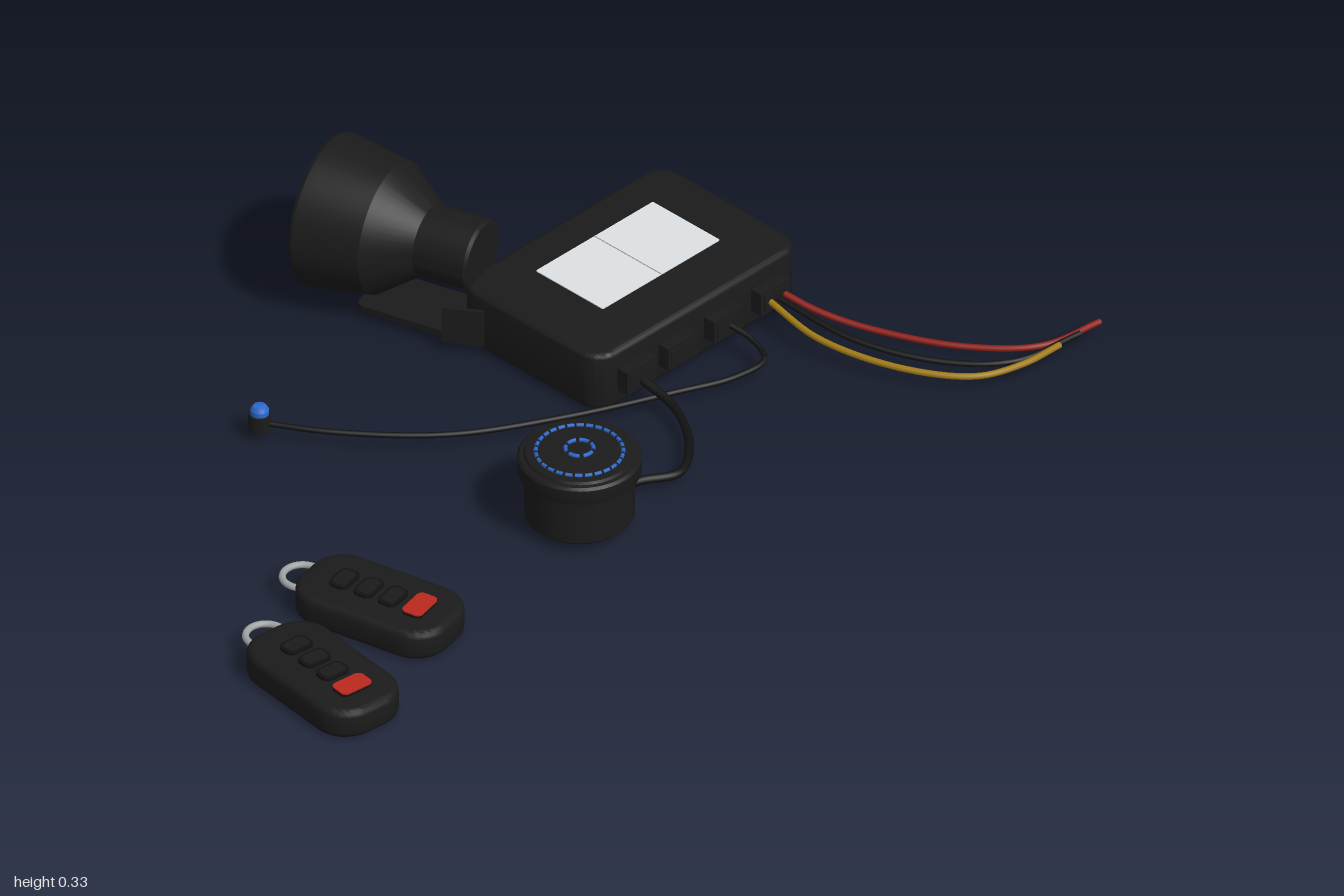
import * as THREE from 'three';
import { toCreasedNormals } from 'three/addons/utils/BufferGeometryUtils.js';

const V = (x, y, z) => new THREE.Vector3(x, y, z);

function material(name, color) {
  const m = new THREE.MeshStandardMaterial({ color });
  m.name = name;
  return m;
}

const mats = {
  black: material('black plastic', 0x1b1b1b),
  dark: material('dark rubber', 0x121212),
  label: material('label grey', 0xdde1e4),
  silver: material('ring metal', 0xa2a4a4),
  red: material('panic red', 0xba281e),
  blue: material('signal blue', 0x2d68cc),
  yellow: material('yellow wire', 0xa07a14),
  maroon: material('red wire', 0x8c1c16),
};

function add(parent, name, geometry, mat, x = 0, y = 0, z = 0) {
  const mesh = new THREE.Mesh(geometry, mat);
  mesh.name = name;
  mesh.position.set(x, y, z);
  parent.add(mesh);
  return mesh;
}

// Rounded rectangle lying flat, standing on y = 0
function slab(w, d, r, h, bevel = 0) {
  const a = w / 2 - bevel, b = d / 2 - bevel;
  r = Math.max(r - bevel, 0.002);
  const s = new THREE.Shape();
  s.absarc(a - r, b - r, r, 0, Math.PI / 2);
  s.absarc(r - a, b - r, r, Math.PI / 2, Math.PI);
  s.absarc(r - a, r - b, r, Math.PI, Math.PI * 1.5);
  s.absarc(a - r, r - b, r, Math.PI * 1.5, Math.PI * 2);
  s.closePath();
  const g = new THREE.ExtrudeGeometry(s, {
    depth: h - 2 * bevel, curveSegments: 8, bevelEnabled: bevel > 0,
    bevelThickness: bevel, bevelSize: bevel, bevelSegments: 3,
  });
  g.translate(0, 0, bevel).rotateX(-Math.PI / 2);
  return toCreasedNormals(g, 0.6);
}

function lathe(points, segments = 48) {
  const g = new THREE.LatheGeometry(points.map(p => new THREE.Vector2(...p)), segments);
  return toCreasedNormals(g, 0.35);
}

function wire(parent, name, points, radius, mat) {
  const curve = new THREE.CatmullRomCurve3(points.map(p => V(...p)));
  add(parent, name, new THREE.TubeGeometry(curve, 64, radius, 8), mat);
}

function controlBox() {
  const g = new THREE.Group();
  g.name = 'controlBox';
  add(g, 'case', slab(0.56, 0.38, 0.05, 0.126, 0.01), mats.black, 0.4, 0.006, -0.07);
  add(g, 'label', slab(0.32, 0.18, 0.003, 0.002), mats.label, 0.4, 0.144, -0.075);
  add(g, 'labelDivider', new THREE.BoxGeometry(0.002, 0.001, 0.18), mats.silver, 0.4, 0.1463, -0.075);
  // Sockets along the front
  for (const x of [0.213, 0.325, 0.45, 0.578]) {
    add(g, 'socket', new THREE.BoxGeometry(0.08, 0.05, 0.05), mats.black, x, 0.067, 0.122);
    add(g, 'socketFace', new THREE.BoxGeometry(0.064, 0.034, 0.004), mats.black, x, 0.067, 0.147);
  }
  // Folded bracket ear beside the case
  add(g, 'bracketEar', new THREE.BoxGeometry(0.008, 0.08, 0.083), mats.black, 0.098, 0.06, -0.22).rotation.y = 0.57;
  return g;
}

function siren() {
  const g = new THREE.Group();
  g.name = 'siren';
  g.position.set(0.177, 0.172, -0.245);
  g.rotation.y = 0.285;
  const horn = lathe([[0, 0], [0.066, 0], [0.072, 0.006], [0.072, 0.115], [0.134, 0.2],
    [0.152, 0.315], [0.154, 0.335], [0.151, 0.342], [0, 0.342]]).rotateX(-Math.PI / 2);
  add(g, 'horn', horn, mats.black);
  add(g, 'mountPlate', slab(0.13, 0.27, 0.02, 0.014), mats.black, -0.015, -0.155, -0.1);
  add(g, 'mountStrap', new THREE.BoxGeometry(0.1, 0.1, 0.014), mats.black, 0, -0.1, 0.005);
  return g;
}

function sounder() {
  const g = new THREE.Group();
  g.name = 'sounder';
  g.position.set(-0.15, 0, 0.335);
  add(g, 'body', lathe([[0, 0.02], [0.1, 0.02], [0.106, 0.026], [0.106, 0.12], [0.118, 0.124],
    [0.12, 0.13], [0.12, 0.157], [0.115, 0.162], [0.107, 0.163], [0.104, 0.168], [0, 0.168]]), mats.black);
  // Dashed light rings on the top
  const dashes = (name, count, radius, tube, fill, y) => {
    const step = Math.PI * 2 / count;
    for (let i = 0; i < count; i++) {
      const arc = new THREE.TorusGeometry(radius, tube, 6, 5, step * fill);
      add(g, name, arc.rotateX(-Math.PI / 2).rotateY(i * step), mats.blue, 0, y, 0);
    }
  };
  dashes('outerLight', 28, 0.084, 0.004, 0.75, 0.169);
  dashes('innerLight', 6, 0.027, 0.004, 0.75, 0.175);
  return g;
}

function indicator() {
  const g = new THREE.Group();
  g.name = 'indicatorLight';
  g.position.set(-0.377, 0, -0.3);
  add(g, 'holder', new THREE.CylinderGeometry(0.022, 0.022, 0.036, 24), mats.black, 0, 0.038, 0);
  add(g, 'lamp', lathe([[0.018, 0.055], [0.018, 0.066], [0.013, 0.074], [0, 0.078]], 24), mats.blue);
  return g;
}

function remote(x, z, angle) {
  const g = new THREE.Group();
  g.name = 'remote';
  g.position.set(x, 0, z);
  g.rotation.y = angle;
  add(g, 'shell', slab(0.182, 0.33, 0.07, 0.063, 0.014), mats.black);
  for (const bz of [-0.08, -0.025, 0.03]) {
    add(g, 'button', slab(0.062, 0.042, 0.014, 0.007), mats.dark, 0, 0.062, bz);
    add(g, 'buttonFace', slab(0.05, 0.03, 0.01, 0.002), mats.black, 0, 0.0685, bz);
  }
  add(g, 'panicPad', slab(0.072, 0.044, 0.012, 0.006), mats.dark, 0, 0.062, 0.09);
  add(g, 'panicButton', slab(0.072, 0.044, 0.012, 0.003), mats.red, 0, 0.068, 0.09);
  const ring = new THREE.TorusGeometry(0.039, 0.007, 10, 32).rotateX(Math.PI / 2);
  add(g, 'keyRing', ring, mats.silver, 0, 0.037, -0.174);
  return g;
}

export function createModel() {
  const model = new THREE.Group();
  model.name = 'alarmKit';
  model.add(controlBox(), siren(), sounder(), indicator(),
    remote(-0.896, 0.378, -0.12), remote(-0.648, 0.288, 0.22));

  // Cables from the sockets
  wire(model, 'sounderCable', [[-0.06, 0.035, 0.335], [0, 0.033, 0.355], [0.07, 0.03, 0.385],
    [0.15, 0.03, 0.335], [0.215, 0.035, 0.23], [0.213, 0.06, 0.14]], 0.009, mats.dark);
  wire(model, 'indicatorCable', [[-0.377, 0.035, -0.3], [-0.3, 0.035, -0.175], [-0.15, 0.033, -0.015],
    [0.05, 0.033, 0.105], [0.25, 0.033, 0.195], [0.37, 0.033, 0.243], [0.445, 0.038, 0.247],
    [0.463, 0.05, 0.2], [0.452, 0.066, 0.14]], 0.006, mats.dark);
  wire(model, 'yellowWire', [[0.563, 0.066, 0.14], [0.56, 0.045, 0.28], [0.612, 0.034, 0.45],
    [0.697, 0.03, 0.567], [0.79, 0.029, 0.602], [0.885, 0.029, 0.608]], 0.0065, mats.yellow);
  wire(model, 'blackWire', [[0.582, 0.066, 0.14], [0.617, 0.034, 0.32], [0.697, 0.021, 0.48],
    [0.79, 0.025, 0.58], [0.94, 0.028, 0.608]], 0.006, mats.dark);
  wire(model, 'redWire', [[0.6, 0.066, 0.14], [0.622, 0.047, 0.21], [0.662, 0.031, 0.3],
    [0.757, 0.022, 0.47], [0.862, 0.026, 0.582], [0.995, 0.028, 0.608]], 0.0065, mats.maroon);
  return model;
}
